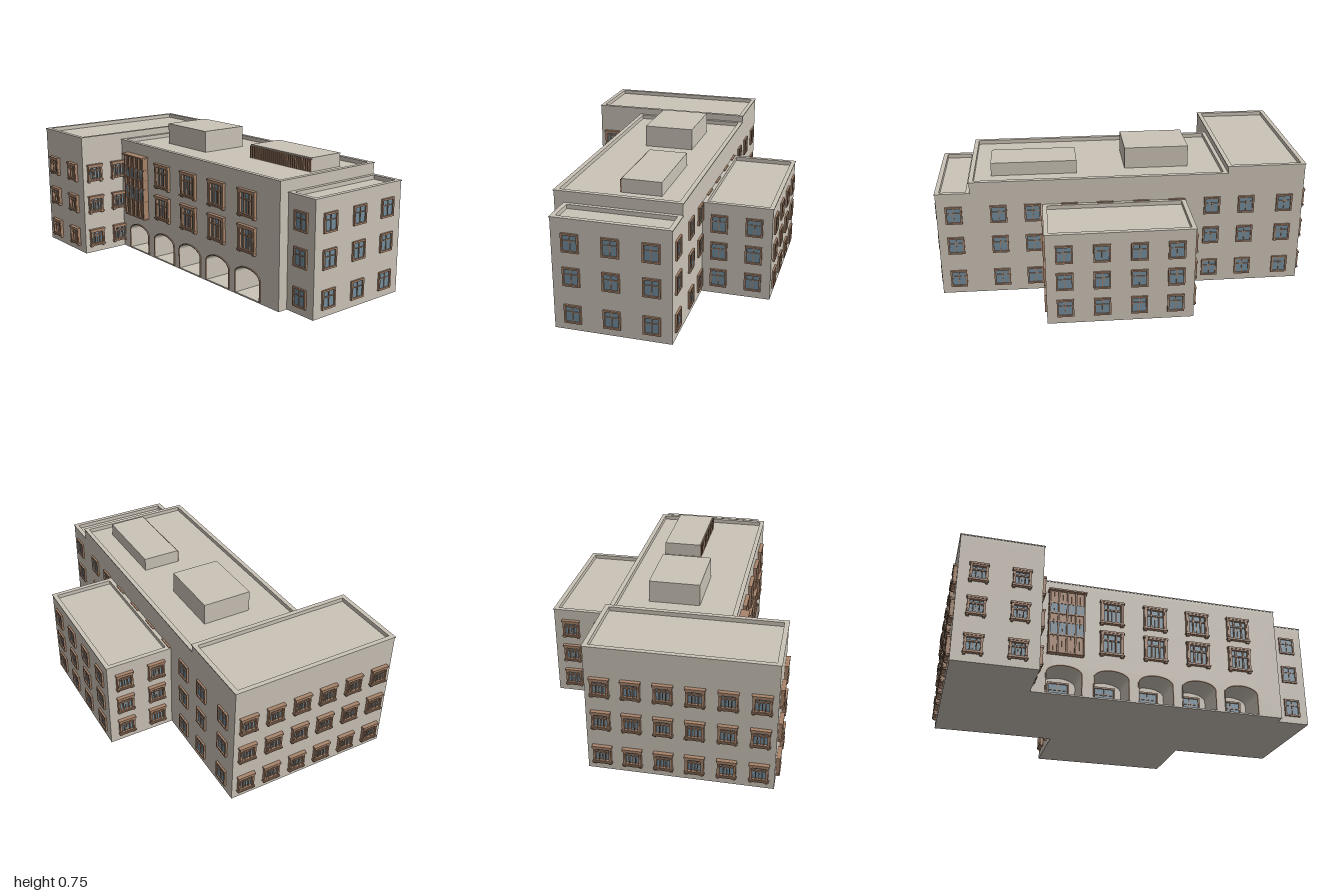
import * as THREE from 'three';
import { mergeGeometries } from 'three/addons/utils/BufferGeometryUtils.js';

const make = (name, color) => {
  const m = new THREE.MeshStandardMaterial({ color });
  m.name = name;
  return m;
};

// box given by its two corners
function box(x0, x1, y0, y1, z0, z1) {
  return new THREE.BoxGeometry(x1 - x0, y1 - y0, z1 - z0)
    .translate((x0 + x1) / 2, (y0 + y1) / 2, (z0 + z1) / 2);
}

// plain casement window, centred, facing +z with its back on z = 0
function plainWindow(w, h) {
  const a = w / 2, b = h / 2, t = 0.009, d = 0.01;
  return {
    glass: box(-a + t, a - t, -b + t, b - t, 0, 0.003),
    wood: mergeGeometries([
      box(-a, -a + t, -b, b, 0, d), box(a - t, a, -b, b, 0, d),
      box(-a + t, a - t, b - t, b, 0, d), box(-a + t, a - t, -b, -b + t, 0, d),
      box(-0.002, 0.002, -b + t, b - t, 0, 0.007),
      box(-a + t, a - t, b * 0.22, b * 0.22 + 0.004, 0, 0.007),
    ]),
  };
}

// ornate window: pilasters, mullions, transom, cornice, sill and apron
function ornateWindow(w, h) {
  const a = w / 2, b = h / 2, p = w * 0.14, m = w * 0.055, d = 0.016;
  const parts = [
    box(-a - 0.004, a + 0.004, b - 0.010, b, 0, 0.021),
    box(-a, a, b - 0.018, b - 0.010, 0, 0.018),
    box(-a - 0.004, a + 0.004, -b + 0.008, -b + 0.015, 0, 0.021),
    box(-a, a, -b + 0.015, -b + 0.021, 0, d),
    box(-a + p, a - p, b * 0.25, b * 0.25 + 0.007, 0, 0.011),
    box(-0.002, 0.002, -b + 0.02, b * 0.25, 0, 0.008),
  ];
  for (const s of [-1, 1]) {
    const c = s * (a - p / 2), q = s * w * 0.17;
    parts.push(box(c - p / 2, c + p / 2, -b + 0.015, b - 0.018, 0, d));
    parts.push(box(c - p / 4, c + p / 4, -b + 0.022, b - 0.024, d, d + 0.003));
    parts.push(box(c - p / 2, c + p / 2, -b, -b + 0.008, 0, d));
    parts.push(box(q - m / 2, q + m / 2, -b + 0.015, b - 0.018, 0, 0.012));
  }
  return { glass: box(-a + p, a - p, -b + 0.02, b - 0.018, 0, 0.003), wood: mergeGeometries(parts) };
}

export function createModel() {
  const model = new THREE.Group();
  const wall = make('stone wall', 0xcbc3b7);
  const wood = make('brown timber', 0xa8846b);
  const glass = make('blue glass', 0x738d9d);
  const add = (name, geo, mat, parent = model) => {
    const mesh = new THREE.Mesh(geo, mat);
    mesh.name = name;
    parent.add(mesh);
    return mesh;
  };

  // raised rim around a flat roof
  function parapet(name, x0, x1, z0, z1, h) {
    const t = 0.021, y = h - 0.022, e = 0.003;
    add(name, mergeGeometries([
      box(x0, x1, y, h, z0, z0 + t), box(x0, x1, y, h, z1 - t, z1),
      box(x0, x0 + t, y, h, z0 + t, z1 - t), box(x1 - t, x1, y, h, z0 + t, z1 - t),
      box(x0 - e, x1 + e, h - 0.005, h, z0 - e, z0), box(x0 - e, x1 + e, h - 0.005, h, z1, z1 + e),
      box(x0 - e, x0, h - 0.005, h, z0, z1), box(x1, x1 + e, h - 0.005, h, z0, z1),
    ]), wall);
  }
  function wing(name, x0, x1, z0, z1, h) {
    add(name, box(x0, x1, 0, h - 0.022, z0, z1), wall);
    parapet(name + 'Parapet', x0, x1, z0, z1, h);
  }
  wing('leftWing', -0.98, -0.56, -0.285, 0.63, 0.688);
  wing('rightWing', 0.81, 0.99, -0.285, 0.312, 0.59);
  wing('rearWing', -0.33, 0.43, -0.65, -0.285, 0.51);

  // main block: solid core, and a front slab with arched openings
  const front = 0.365, back = 0.205, floor = 0.008;
  const arches = [-0.39, -0.14, 0.10, 0.34, 0.58];
  add('mainBlock', box(-0.56, 0.81, 0, 0.628, -0.285, back), wall);
  parapet('mainParapet', -0.56, 0.81, -0.285, front, 0.65);
  add('arcadeFloor', box(-0.56, 0.81, 0, floor, back, front), wall);

  const archPath = (path, cx, r, top, y0) => {
    path.moveTo(cx - r, y0);
    path.lineTo(cx - r, 0.115);
    path.absellipse(cx, 0.115, r, top - 0.115, Math.PI, Math.PI / 2, true);
    path.absellipse(cx, 0.115, r, top - 0.115, Math.PI / 2, 0, true);
    path.lineTo(cx + r, y0);
    return path;
  };
  const facade = new THREE.Shape();
  facade.moveTo(-0.56, floor);
  for (const cx of arches) {
    facade.lineTo(cx - 0.092, floor);
    facade.lineTo(cx - 0.092, 0.115);
    facade.absellipse(cx, 0.115, 0.092, 0.045, Math.PI, 0, true);
    facade.lineTo(cx + 0.092, floor);
  }
  facade.lineTo(0.81, floor);
  facade.lineTo(0.81, 0.628);
  facade.lineTo(-0.56, 0.628);
  add('arcadeFacade', new THREE.ExtrudeGeometry(facade,
    { depth: front - back, bevelEnabled: false, curveSegments: 20 }).translate(0, 0, back), wall);

  // moulding around each arch
  for (const cx of arches) {
    const trim = archPath(new THREE.Shape(), cx, 0.097, 0.165, floor);
    trim.lineTo(cx + 0.092, floor);
    trim.lineTo(cx + 0.092, 0.115);
    trim.absellipse(cx, 0.115, 0.092, 0.045, 0, Math.PI, false);
    trim.lineTo(cx - 0.092, floor);
    add('archMoulding', new THREE.ExtrudeGeometry(trim,
      { depth: 0.006, bevelEnabled: false, curveSegments: 14 }).translate(0, 0, front), wood);
  }

  // windows on a wall: columns along it, rows up it
  const turns = { front: 0, right: Math.PI / 2, back: Math.PI, left: -Math.PI / 2 };
  function windows(name, kind, side, plane, columns, rows) {
    for (const c of columns) for (const y of rows) {
      const g = new THREE.Group();
      g.name = name;
      add('pane', kind.glass, glass, g);
      add('frame', kind.wood, wood, g);
      g.rotation.y = turns[side];
      if (side === 'front' || side === 'back') g.position.set(c, y, plane);
      else g.position.set(plane, y, c);
      model.add(g);
    }
  }
  const plain = plainWindow(0.088, 0.098);
  const ornate = ornateWindow(0.09, 0.106);
  const large = ornateWindow(0.127, 0.144);
  const rows = [0.088, 0.288, 0.466], rearRows = [0.09, 0.245, 0.398];
  const ornateRows = [0.088, 0.288, 0.474];

  windows('archWindow', plainWindow(0.118, 0.115), 'front', back, arches, [0.076]);
  windows('mainFrontWindow', large, 'front', front, arches.slice(1), [0.312, 0.494]);
  windows('leftWingFrontWindow', ornate, 'front', 0.63, [-0.878, -0.667], ornateRows);
  windows('leftWingOuterWindow', ornate, 'left', -0.98, [-0.21, -0.06, 0.093, 0.245, 0.4, 0.555], ornateRows);
  windows('leftWingInnerWindow', ornate, 'right', -0.56, [0.4, 0.557], ornateRows);
  windows('rightWingFrontWindow', plain, 'front', 0.312, [0.9], rows);
  windows('rightWingSideWindow', plain, 'right', 0.99, [0.215, 0.015, -0.185], rows);
  windows('backWindow', plain, 'back', -0.285, [-0.878, -0.667, -0.48, 0.485, 0.665, 0.9], rows);
  windows('upperBackWindow', plain, 'back', -0.285, [-0.285, -0.095, 0.1, 0.29], [rows[2]]);
  windows('rearWingBackWindow', plain, 'back', -0.65, [-0.235, -0.045, 0.145, 0.335], rearRows);
  windows('rearWingRightWindow', plain, 'right', 0.43, [-0.375, -0.557], rearRows);
  windows('rearWingLeftWindow', ornate, 'left', -0.33, [-0.375, -0.557], rearRows);

  // timber bay over the first arch, with posts and two bands of glass
  const bay = [box(-0.483, -0.293, 0.218, 0.578, front, 0.39),
    box(-0.49, -0.286, 0.576, 0.584, front, 0.412)];
  for (const y of [0.218, 0.318, 0.394, 0.443, 0.504])
    bay.push(box(-0.485, -0.291, y, y + 0.007, front, 0.396));
  for (let i = 0; i < 9; i++) {
    const x = -0.48 + i * 0.023, w = i % 2 ? 0.0015 : 0.004;
    bay.push(box(x - w, x + w, 0.218, 0.576, 0.39, i % 2 ? 0.395 : 0.4));
  }
  add('bayTimber', mergeGeometries(bay), wood);
  for (const [y0, y1] of [[0.325, 0.394], [0.45, 0.504]])
    add('bayGlass', box(-0.48, -0.296, y0, y1, 0.389, 0.393), glass);

  // rooftop houses, one with a louvred front
  add('roofHouse', box(-0.37, -0.022, 0.62, 0.745, -0.108, 0.16), wall);
  add('louvredRoofHouse', box(0.242, 0.7, 0.62, 0.7, -0.15, 0.054), wall);
  const fins = [];
  for (let i = 0; i < 30; i++) {
    const x = 0.246 + i * 0.0155;
    fins.push(box(x - 0.004, x + 0.004, 0.628, 0.694, 0.054, 0.062));
  }
  add('louvreFins', mergeGeometries(fins), wood);

  return model;
}
